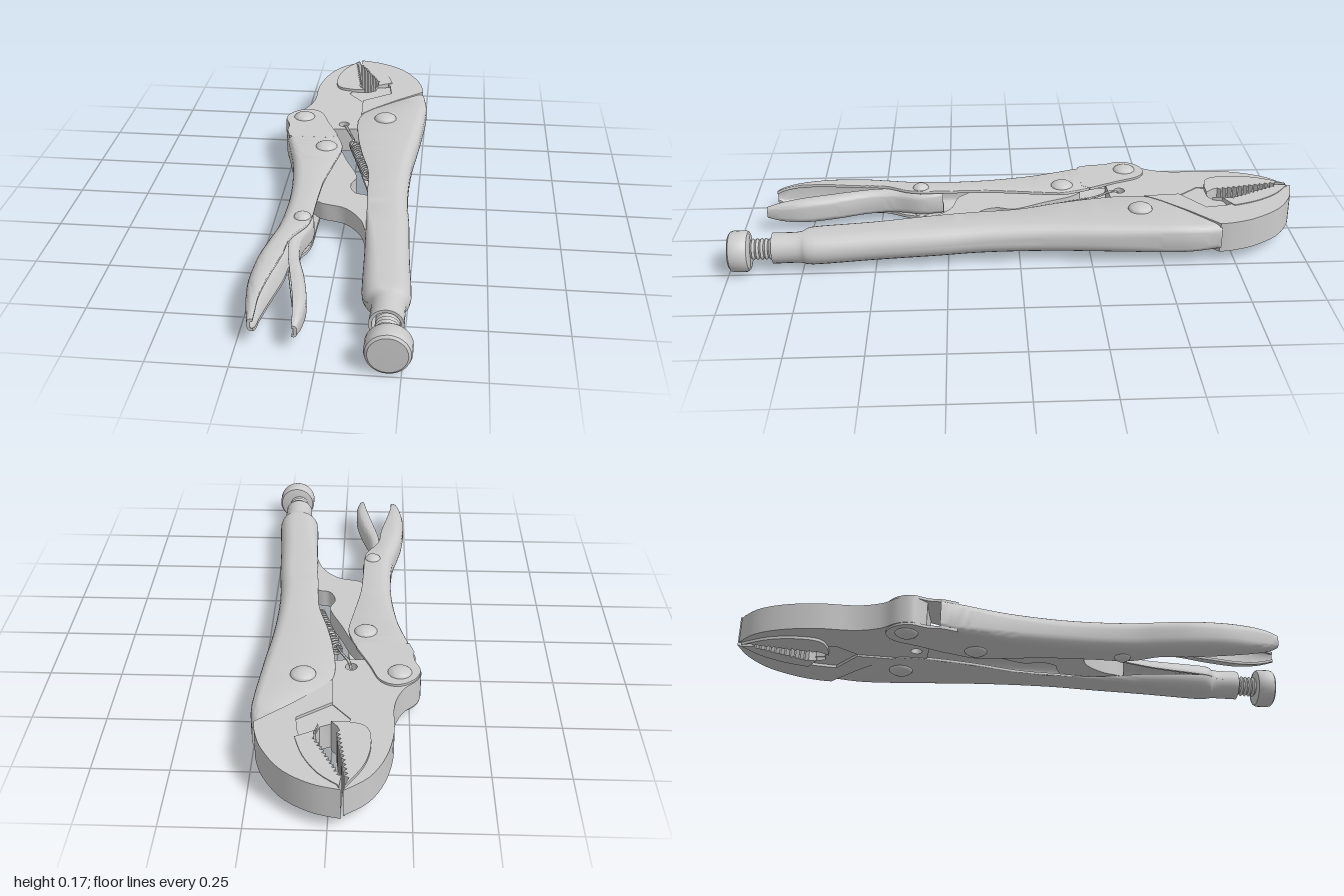
import * as THREE from 'three';
import { toCreasedNormals } from 'three/addons/utils/BufferGeometryUtils.js';

const steel = new THREE.MeshStandardMaterial({ color: 0xcccccc, side: THREE.DoubleSide });

function part(name, geometry, crease = 0.6) {
  const mesh = new THREE.Mesh(toCreasedNormals(geometry, crease), steel);
  mesh.name = name;
  return mesh;
}

// smooth run of [x, z] points
const curve = (pts, n = 24) =>
  new THREE.SplineCurve(pts.map(p => new THREE.Vector2(...p))).getPoints(n).map(p => [p.x, p.y]);

// zigzag edge from a to b
function teeth(a, b, n, depth) {
  const dx = b[0] - a[0], dz = b[1] - a[1], len = Math.hypot(dx, dz), out = [];
  for (let i = 0; i <= 2 * n; i++) {
    const t = i / (2 * n), d = i % 2 ? depth : 0;
    out.push([a[0] + dx * t - dz / len * d, a[1] + dz * t + dx / len * d]);
  }
  return out;
}

// flat plate from an [x, z] outline, between heights y0 and y1
function plate(name, pts, y0, y1, hole) {
  const shape = new THREE.Shape(pts.map(([x, z]) => new THREE.Vector2(x, -z)));
  if (hole) shape.holes.push(new THREE.Path().absarc(hole[0], -hole[1], hole[2], 0, Math.PI * 2, true));
  const g = new THREE.ExtrudeGeometry(shape, { depth: y1 - y0, bevelEnabled: false, curveSegments: 10 });
  g.rotateX(-Math.PI / 2);
  g.translate(0, y0, 0);
  return part(name, g);
}

// half section of a bent sheet: open edge at u = u0, folded back at u = u1
function section(u0, u1, h, edgeR, backR) {
  const w = Math.max(u1 - u0, 0.004), re = Math.min(edgeR, h, w / 2), rb = Math.min(backR, h, w - re), pts = [];
  const arc = (cx, cy, r, a0, a1) => {
    for (let i = 0; i <= 6; i++) {
      const a = a0 + (a1 - a0) * i / 6;
      pts.push([cx + r * Math.cos(a), cy + r * Math.sin(a)]);
    }
  };
  const q = Math.PI / 2;
  arc(u0 + re, h - re, re, 2 * q, q);
  arc(u0 + w - rb, h - rb, rb, q, 0);
  arc(u0 + w - rb, rb - h, rb, 0, -q);
  arc(u0 + re, re - h, re, -q, -2 * q);
  return pts;
}

// sheet channel lofted along z; stations are [z, edgeX, backX, halfHeight, edgeRadius, backRadius]
function channel(name, stations, t = 0.01, rings = 56) {
  const cols = [1, 2, 3, 4, 5].map(c => new THREE.SplineCurve(stations.map(s => new THREE.Vector2(s[0], s[c]))));
  const dir = Math.sign(stations[0][2] - stations[0][1]);
  const pos = [], idx = [];
  const tri = (a, b, c) => (dir > 0 ? idx.push(a, b, c) : idx.push(a, c, b));
  let n = 0, m = 0;
  for (let i = 0; i <= rings; i++) {
    const at = cols.map(c => c.getPoint(i / rings));
    const [e, b, h, re, rb] = at.map(p => p.y);
    const w = Math.abs(b - e), r = Math.max(re, 0.002);
    const outer = section(0, w, h, r, rb);
    const inner = section(Math.min(r * 0.5, t), w - t, h - t, Math.max(r - t, 0.001), Math.max(rb - t, 0.001));
    m = outer.length;
    n = 2 * m;
    for (const [u, y] of [...outer, ...inner.reverse()]) pos.push(e + dir * u, y, at[0].x);
  }
  for (let i = 0; i < rings; i++) {
    for (let j = 0; j < n; j++) {
      const a = i * n + j, b = i * n + (j + 1) % n;
      tri(a, a + n, b);
      tri(b, a + n, b + n);
    }
  }
  for (let j = 0; j < m - 1; j++) {
    const k = rings * n, o = j, p = j + 1, q = n - 1 - j, s = n - 2 - j;
    tri(o, p, q); tri(p, s, q);
    tri(k + o, k + q, k + p); tri(k + p, k + q, k + s);
  }
  const g = new THREE.BufferGeometry();
  g.setAttribute('position', new THREE.Float32BufferAttribute(pos, 3));
  g.setIndex(idx);
  return part(name, g);
}

// turned part along z from [radius, z] points
function turned(name, pts, x, y = 0) {
  const g = new THREE.LatheGeometry(pts.map(p => new THREE.Vector2(...p)), 28);
  g.rotateX(Math.PI / 2);
  g.translate(x, y, 0);
  return part(name, g);
}

export function createModel() {
  const root = new THREE.Group();
  root.name = 'lockingPliers';

  // Jaws
  root.add(plate('movingJaw', [
    ...curve([[-0.046, -0.995], [-0.12, -0.935], [-0.17, -0.84], [-0.195, -0.72], [-0.196, -0.59],
      [-0.225, -0.5], [-0.272, -0.445], [-0.285, -0.39], [-0.25, -0.345]], 32),
    [-0.18, -0.34], [-0.11, -0.33], [-0.03, -0.335], [0.1, -0.35], [0.17, -0.42], [0.14, -0.52],
    [0, -0.585], [-0.06, -0.66], [-0.05, -0.7], [-0.075, -0.8], [-0.07, -0.94],
  ], -0.048, 0.048, [-0.055, -0.375, 0.02]));
  root.add(plate('fixedJaw', [
    ...curve([[-0.04, -1], [0.05, -0.975], [0.14, -0.915], [0.205, -0.82], [0.232, -0.74], [0.238, -0.69]]),
    [0.13, -0.595], [0.05, -0.515], [0.005, -0.46], [0, -0.585], [0.11, -0.665], [0.1, -0.74],
    [0.07, -0.8], [0, -0.94],
  ], -0.055, 0.055));
  root.add(plate('movingJawTeeth', [
    ...curve([[-0.05, -0.985], [-0.1, -0.9], [-0.122, -0.82], [-0.122, -0.74], [-0.1, -0.7], [-0.05, -0.685]]),
    [0, -0.685], [-0.02, -0.71],
    ...teeth([-0.028, -0.73], [-0.062, -0.95], 11, 0.012),
  ], -0.058, 0.058));
  root.add(plate('fixedJawTeeth', [
    ...curve([[-0.035, -0.985], [0.03, -0.93], [0.08, -0.85], [0.108, -0.765]], 12),
    [0.045, -0.73], [0.04, -0.7], [0.052, -0.74],
    ...teeth([0.048, -0.76], [-0.04, -0.94], 11, 0.012),
  ], -0.058, 0.058));
  root.add(plate('jawThroat', [[-0.055, -0.69], [0.005, -0.685], [0.035, -0.7], [0.045, -0.735], [0.1, -0.745],
    [0.115, -0.665], [0, -0.58], [-0.065, -0.66]], -0.045, 0.045));

  // Fixed handle with its round grip and neck
  root.add(channel('fixedHandle', [
    [-0.695, 0.215, 0.245, 0.048, 0.003, 0.03], [-0.6, 0.13, 0.258, 0.051, 0.003, 0.03],
    [-0.52, 0.045, 0.256, 0.053, 0.003, 0.032], [-0.43, 0, 0.25, 0.053, 0.003, 0.035],
    [-0.3, 0.005, 0.24, 0.053, 0.003, 0.04], [-0.15, 0.032, 0.226, 0.053, 0.003, 0.042],
    [0, 0.07, 0.22, 0.053, 0.003, 0.045], [0.15, 0.08, 0.222, 0.053, 0.004, 0.048],
    [0.3, 0.09, 0.235, 0.053, 0.012, 0.05], [0.5, 0.1, 0.247, 0.054, 0.04, 0.053],
    [0.68, 0.108, 0.262, 0.055, 0.053, 0.055], [0.73, 0.118, 0.26, 0.055, 0.054, 0.055],
    [0.76, 0.142, 0.25, 0.053, 0.053, 0.053], [0.85, 0.142, 0.25, 0.053, 0.053, 0.053],
  ]));

  // Moving handle: two cheek plates round the jaw pivot, then a channel grip
  for (const s of [-1, 1]) {
    const y = s > 0 ? 0.046 : -0.056;
    root.add(plate('handleCheek', [
      ...curve([[-0.265, -0.29], [-0.265, -0.34], [-0.284, -0.4], [-0.26, -0.455], [-0.205, -0.483],
        [-0.15, -0.455], [-0.115, -0.37], [-0.07, -0.27]], 28),
      [-0.09, -0.24], [-0.25, -0.24],
    ], y, y + 0.01));
  }
  root.add(channel('movingHandle', [
    [-0.3, -0.085, -0.27, 0.0555, 0.002, 0.02], [-0.21, -0.05, -0.247, 0.056, 0.002, 0.025],
    [-0.15, -0.04, -0.232, 0.056, 0.002, 0.03], [-0.05, -0.055, -0.21, 0.056, 0.002, 0.035],
    [0.1, -0.078, -0.193, 0.056, 0.002, 0.04], [0.24, -0.085, -0.189, 0.056, 0.002, 0.04],
    [0.38, -0.092, -0.198, 0.057, 0.002, 0.04], [0.48, -0.14, -0.218, 0.057, 0.002, 0.04],
    [0.58, -0.152, -0.236, 0.057, 0.002, 0.04], [0.7, -0.175, -0.243, 0.055, 0.002, 0.04],
    [0.8, -0.19, -0.232, 0.048, 0.002, 0.03], [0.86, -0.192, -0.22, 0.036, 0.002, 0.02],
    [0.89, -0.195, -0.213, 0.022, 0.002, 0.012],
  ]));

  // Release lever nested in the moving handle
  root.add(channel('releaseLever', [
    [0.27, -0.16, -0.095, 0.044, 0.002, 0.02], [0.35, -0.165, -0.083, 0.044, 0.002, 0.025],
    [0.45, -0.148, -0.108, 0.045, 0.002, 0.025], [0.55, -0.14, -0.102, 0.045, 0.002, 0.025],
    [0.66, -0.118, -0.072, 0.045, 0.002, 0.025], [0.77, -0.095, -0.051, 0.044, 0.002, 0.025],
    [0.85, -0.083, -0.052, 0.036, 0.002, 0.02], [0.91, -0.078, -0.062, 0.02, 0.002, 0.01],
  ], 0.009, 40));

  // Toggle link between the handles
  root.add(plate('toggleLink', [
    ...curve([[-0.15, -0.18], [-0.1, -0.235], [-0.055, -0.2], [-0.015, -0.1], [0.03, 0.01], [0.015, 0.075],
      [0.035, 0.13], [0.08, 0.145], [0.15, 0.2], [0.15, 0.38], [0.1, 0.39], [0.07, 0.31], [0.01, 0.24],
      [-0.08, 0.21], [-0.13, 0.14]], 60),
  ], -0.032, 0.032));

  // Coil spring with its hook wire
  const a = new THREE.Vector3(-0.004, 0.027, -0.25), b = new THREE.Vector3(0.07, 0.027, 0);
  const axis = b.clone().sub(a).normalize(), side = new THREE.Vector3(0, 1, 0), across = axis.clone().cross(side);
  const turns = 17, coil = [];
  for (let i = 0; i <= turns * 10; i++) {
    const w = i / 10 * Math.PI * 2;
    coil.push(a.clone().lerp(b, i / (turns * 10))
      .addScaledVector(side, 0.017 * Math.cos(w)).addScaledVector(across, 0.017 * Math.sin(w)));
  }
  root.add(part('spring', new THREE.TubeGeometry(new THREE.CatmullRomCurve3(coil), turns * 12, 0.0045, 6), 1.2));
  const hook = new THREE.CatmullRomCurve3([coil[0], new THREE.Vector3(-0.02, 0.045, -0.29),
    new THREE.Vector3(-0.048, 0.05, -0.355), new THREE.Vector3(-0.056, 0.03, -0.378), new THREE.Vector3(-0.058, 0, -0.382)]);
  root.add(part('springHook', new THREE.TubeGeometry(hook, 20, 0.0045, 6), 1.2));

  // Domed rivets through the full thickness
  for (const [x, z, r] of [[-0.215, -0.412, 0.041], [0.102, -0.43, 0.043], [-0.1, -0.168, 0.041], [-0.12, 0.35, 0.03]]) {
    const rivet = new THREE.Group();
    rivet.name = 'rivet';
    for (const s of [-1, 1]) {
      const dome = new THREE.SphereGeometry(1, 24, 12);
      dome.scale(r, 0.02, r);
      dome.translate(x, s * 0.052, z);
      rivet.add(part('rivetHead', dome));
    }
    const pin = new THREE.CylinderGeometry(r * 0.6, r * 0.6, 0.1, 16);
    pin.translate(x, 0, z);
    rivet.add(part('rivetPin', pin));
    root.add(rivet);
  }

  // Adjusting screw and knob
  const thread = [[0, 0.6]];
  for (let i = 0; i <= 44; i++) thread.push([i % 2 ? 0.038 : 0.03, 0.61 + i * 0.0075]);
  root.add(turned('adjustingScrew', thread, 0.2));
  root.add(turned('screwKnob', [[0, 0.925], [0.052, 0.925], [0.066, 0.929], [0.0715, 0.938], [0.0715, 0.978],
    [0.068, 0.99], [0.06, 0.996], [0, 0.997]], 0.21));

  // Rests with the jaws slightly raised
  root.rotation.x = 0.016;
  root.position.y = 0.0872;
  const model = new THREE.Group();
  model.name = 'pliers';
  model.add(root);
  return model;
}
